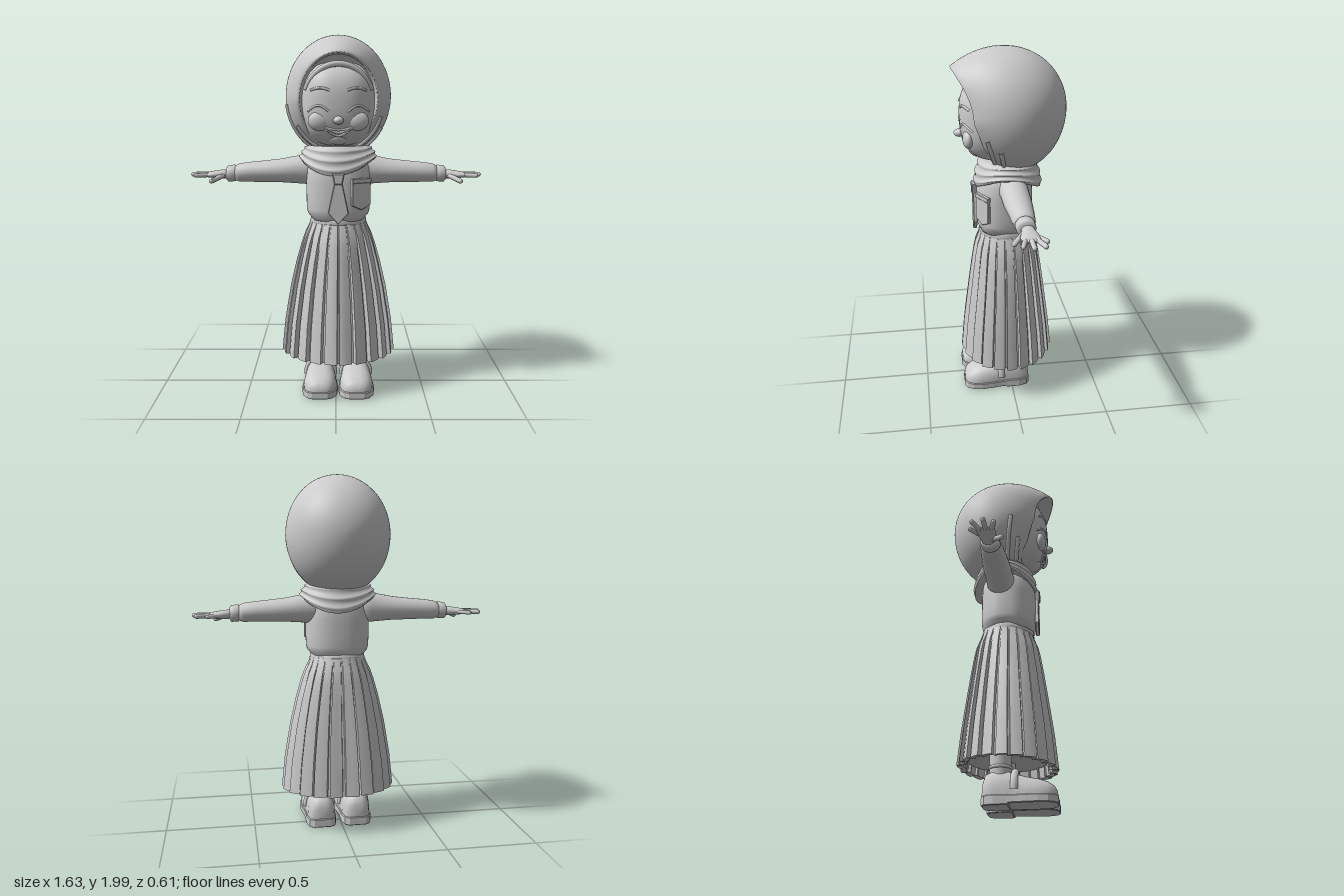
import * as THREE from 'three';
import { toCreasedNormals } from 'three/addons/utils/BufferGeometryUtils.js';

const V = (x, y, z) => new THREE.Vector3(x, y, z);
const TAU = Math.PI * 2;
const spow = (v, e) => Math.sign(v) * Math.abs(v) ** e;

// Closed skin over a list of equally sized rings, capped at both ends
function loft(rings) {
  const n = rings[0].length, pos = [], idx = [];
  rings.forEach(r => r.forEach(p => pos.push(p.x, p.y, p.z)));
  for (let i = 0; i < rings.length - 1; i++) for (let j = 0; j < n; j++) {
    const a = i * n + j, b = i * n + (j + 1) % n;
    idx.push(a, b, a + n, b, b + n, a + n);
  }
  [0, rings.length - 1].forEach((ri, end) => {
    const c = rings[ri].reduce((s, p) => s.add(p), V(0, 0, 0)).divideScalar(n);
    const k = pos.length / 3;
    pos.push(c.x, c.y, c.z);
    for (let j = 0; j < n; j++) {
      const a = ri * n + j, b = ri * n + (j + 1) % n;
      if (end) idx.push(k, a, b); else idx.push(k, b, a);
    }
  });
  const g = new THREE.BufferGeometry();
  g.setAttribute('position', new THREE.Float32BufferAttribute(pos, 3));
  g.setIndex(idx);
  g.computeVertexNormals();
  return g;
}
const ring = (n, fn) => Array.from({ length: n }, (_, j) => fn(j / n * TAU));

// Copy of an indexed geometry reflected in x
function mirror(geo) {
  const g = geo.clone().scale(-1, 1, 1), ix = g.index.array;
  for (let i = 0; i < ix.length; i += 3) [ix[i], ix[i + 1]] = [ix[i + 1], ix[i]];
  g.computeVertexNormals();
  return g;
}

// Rounded rod from a to b
function rod(a, b, r) {
  const d = b.clone().sub(a), g = new THREE.CapsuleGeometry(r, d.length(), 6, 12);
  g.applyQuaternion(new THREE.Quaternion().setFromUnitVectors(V(0, 1, 0), d.clone().normalize()));
  const m = a.clone().add(b).multiplyScalar(0.5);
  return g.translate(m.x, m.y, m.z);
}
const tube = (pts, r) => new THREE.TubeGeometry(new THREE.CatmullRomCurve3(pts), 32, r, 8);
const arc = (n, fn) => Array.from({ length: n }, (_, i) => fn(i / (n - 1)));
const plate = (pts, depth, bevel = 0.003) => new THREE.ExtrudeGeometry(
  new THREE.Shape(pts.map(p => new THREE.Vector2(...p))),
  { depth, bevelThickness: bevel, bevelSize: bevel, bevelSegments: 1 });

export function createModel() {
  const root = new THREE.Group(), body = new THREE.Group();
  root.name = 'girlInHeadscarf';
  body.name = 'body';
  body.position.x = 0.013;
  root.add(body);
  const clay = new THREE.MeshStandardMaterial({ color: 0xcccccc });
  clay.name = 'lightGrey';
  const add = (name, geo, parent = body) => {
    const m = new THREE.Mesh(geo, clay);
    m.name = name;
    parent.add(m);
    return m;
  };

  // Headscarf: ellipsoid pulled out to a peaked rim around the face
  const rim = f => V(0.21 * Math.sin(f), 1.645 + 0.245 * Math.cos(f),
    0.2 + 0.1 * Math.max(Math.cos(f), 0) ** 2 - 0.09 * Math.max(-Math.cos(f), 0));
  const egg = (a, f) => V(0.295 * Math.sin(a) * Math.sin(f), 1.67 + 0.33 * Math.sin(a) * Math.cos(f), 0.307 * Math.cos(a));
  const hoodPoint = (s, f) => egg(0.85 + s * (Math.PI - 0.85), f)
    .add(rim(f).sub(egg(0.85, f)).multiplyScalar((1 - s) ** 2));
  const lip = (k, back) => ring(64, f => {
    const p = rim(f);
    return V(p.x * k, 1.645 + (p.y - 1.645) * k, p.z - back);
  });
  const hoodRings = [lip(0.9, 0.13), lip(0.94, 0.04), lip(0.965, 0.005)];
  for (let i = 0; i < 32; i++) hoodRings.push(ring(64, f => hoodPoint(i / 32, f)));
  hoodRings.push(ring(64, f => hoodPoint(0.995, f)));
  add('headscarf', loft(hoodRings));
  [[0.07, 1.9, 4.2], [0.17, 2.1, 4.6]].forEach(([s, f0, f1]) =>
    add('headscarfFold', tube(arc(16, t => hoodPoint(s + 0.04 * t, f0 + (f1 - f0) * t)), 0.012)));

  // Face: softly squared ellipsoid
  const P = 2.6, FX = 0.2, FY = 0.23, FZ = 0.21, CY = 1.625, CZ = 0.05;
  const face = new THREE.SphereGeometry(1, 48, 32), fp = face.attributes.position;
  for (let i = 0; i < fp.count; i++) {
    const v = V(0, 0, 0).fromBufferAttribute(fp, i);
    const k = (Math.abs(v.x) ** P + Math.abs(v.y) ** P + Math.abs(v.z) ** P) ** (-1 / P);
    fp.setXYZ(i, v.x * k * FX, CY + v.y * k * FY, CZ + v.z * k * FZ);
  }
  face.computeVertexNormals();
  add('face', face);
  const onFace = (x, y, out = 0) => V(x, y, out + CZ + FZ *
    Math.max(0, 1 - Math.abs(x / FX) ** P - Math.abs((y - CY) / FY) ** P) ** (1 / P));
  const ball = (name, r, sx, sy, sz, p) =>
    add(name, new THREE.SphereGeometry(r, 24, 16).scale(sx, sy, sz).translate(p.x, p.y, p.z));
  ball('nose', 0.024, 1.15, 0.9, 1.3, V(0, 1.54, 0.26));
  ball('chin', 0.06, 1.1, 0.75, 1, V(0, 1.45, 0.155));
  for (const s of [-1, 1]) {
    ball('cheek', 0.06, 1, 0.85, 0.5, onFace(s * 0.1, 1.535, -0.015));
    add('closedEye', tube(arc(9, t => onFace(s * (0.05 + 0.11 * t), 1.585 + 0.03 * Math.sin(t * Math.PI), 0)), 0.006));
    add('eyebrow', tube(arc(7, t => onFace(s * (0.045 + 0.1 * t), 1.685 + 0.02 * Math.sin(0.4 + t * 2.3), 0)), 0.007));
  }
  const smile = (w, y, d) => arc(9, t => onFace(w * (2 * t - 1), y - d * Math.sin(t * Math.PI), 0));
  add('upperLip', tube(smile(0.07, 1.502, 0.012), 0.006));
  add('lowerLip', tube(smile(0.068, 1.5, 0.042), 0.007));
  add('teeth', tube(smile(0.055, 1.497, 0.022), 0.008));
  add('underscarfBand', tube(arc(13, t => {
    const f = (t - 0.5) * 2.4;
    return V(0.185 * Math.sin(f), 1.62 + 0.21 * Math.cos(f), 0.15 + 0.05 * Math.cos(f));
  }), 0.016));

  // Scarf wrapped round the neck, lower at front and back
  const wrapRing = (d, k) => ring(64, f => V(0.22 * k * Math.sin(f),
    1.395 - d * (0.065 + 0.095 * Math.cos(f) ** 2) + 0.012 * Math.sin(f * 2 + 0.6) * d, 0.19 * k * Math.cos(f) + 0.005));
  const wraps = [wrapRing(0, 0.6)];
  for (let i = 0; i <= 24; i++) {
    const d = i / 24;
    wraps.push(wrapRing(d, 0.995 - 0.2 * (1 - d) ** 2 - 0.045 * Math.abs(Math.cos(d * 3 * Math.PI))));
  }
  wraps.push(wrapRing(1, 0.8));
  add('neckScarf', loft(wraps.reverse()));

  // Shirt: [y, half width, half depth]
  const shirt = [[0.985, 0.145, 0.135], [1, 0.152, 0.14], [1.02, 0.17, 0.15], [1.045, 0.176, 0.154], [1.1, 0.178, 0.155],
    [1.2, 0.178, 0.155], [1.28, 0.172, 0.15], [1.33, 0.14, 0.13], [1.38, 0.09, 0.09]];
  add('shirt', loft(shirt.map(([y, w, d]) => ring(48, f =>
    V(w * spow(Math.sin(f), 0.83), y, 0.025 + d * spow(Math.cos(f), 0.83))))));
  add('pocket', plate([[-0.055, 0.08], [0.055, 0.08], [0.055, -0.06], [0, -0.085], [-0.055, -0.06]], 0.012))
    .position.set(0.12, 1.14, 0.148);
  body.children.at(-1).rotation.y = 0.5;
  add('pocketHem', plate([[-0.056, 0.082], [0.056, 0.082], [0.056, 0.062], [-0.056, 0.062]], 0.016))
    .position.set(0.12, 1.14, 0.148);
  body.children.at(-1).rotation.y = 0.5;
  add('tie', plate([[-0.016, 1.21], [-0.052, 1.04], [0, 0.982], [0.052, 1.04], [0.016, 1.21]], 0.015)).position.z = 0.18;
  add('tieKnot', plate([[-0.027, 1.25], [-0.017, 1.2], [0.017, 1.2], [0.027, 1.25]], 0.022, 0.005)).position.z = 0.178;

  // Pleated skirt: pleat profile runs from centre front round each side
  const PLEATS = 11, half = [];
  for (let i = 0; i < PLEATS; i++)
    for (const [t, drop] of [[0.04, 1], [0.08, 0], [0.5, 0.2], [0.88, 0.5], [0.92, 1]])
      half.push([(i + t) / PLEATS * Math.PI, drop]);
  const pleats = [...half, ...half.map(([f, d]) => [TAU - f, d]).reverse()];
  // [y, half width, half depth, pleat depth], from the inside of the hem upwards
  const skirt = [[0.27, 0.28, 0.225, 0.05], [0.22, 0.29, 0.235, 0.08], [0.217, 0.325, 0.268, 0.1], [0.4, 0.306, 0.25, 0.1],
    [0.6, 0.272, 0.223, 0.1], [0.75, 0.237, 0.202, 0.09], [0.85, 0.208, 0.186, 0.07], [0.9, 0.19, 0.175, 0.05],
    [0.95, 0.165, 0.155, 0.02], [0.985, 0.152, 0.143, 0]];
  add('skirt', toCreasedNormals(loft(skirt.map(([y, w, d, p]) => pleats.map(([f, drop]) =>
    V(w * (1 - p * drop) * Math.sin(f), y - (y < 0.25 ? 0.01 * Math.cos(f) : 0),
      0.015 + d * (1 - p * drop) * Math.cos(f))))), 0.5));
  add('waistband', loft([[0.965, 0.15, 0.14], [0.97, 0.157, 0.147], [1, 0.154, 0.144], [1.005, 0.14, 0.13]]
    .map(([y, w, d]) => ring(48, f => V(w * Math.sin(f), y, 0.02 + d * Math.cos(f))))));

  // Legs and shoes: shoe sections are [z, half width, top]
  const shoe = [[-0.1, 0.045, 0.12], [-0.085, 0.068, 0.165], [-0.04, 0.08, 0.185], [0.03, 0.08, 0.178], [0.07, 0.083, 0.165],
    [0.12, 0.09, 0.15], [0.18, 0.094, 0.138], [0.23, 0.088, 0.122], [0.262, 0.068, 0.1], [0.276, 0.04, 0.075]];
  const outline = (z0, z1) => {
    const pts = shoe.filter(([z]) => z >= z0 && z <= z1).map(([z, w]) => [w + 0.002, -z]);
    return [...pts, ...pts.map(([x, y]) => [-x, y]).reverse()].reverse();
  };
  for (const s of [-1, 1]) {
    const foot = new THREE.Group();
    foot.name = s > 0 ? 'leftFoot' : 'rightFoot';
    foot.position.x = s * 0.102;
    body.add(foot);
    add('leg', new THREE.CylinderGeometry(0.06, 0.054, 0.3, 24).translate(0, 0.28, -0.012), foot);
    add('sockCuff', new THREE.TorusGeometry(0.054, 0.009, 8, 24).rotateX(Math.PI / 2).translate(0, 0.2, -0.012), foot);
    add('shoe', loft(shoe.map(([z, w, top]) => ring(32, f => V(w * spow(Math.cos(f), 0.8),
      0.04 + (Math.sin(f) > 0 ? (top - 0.04) * Math.sin(f) ** 0.8 : 0.01 * Math.sin(f)), z)))), foot);
    add('sole', plate(outline(-0.01, 0.3), 0.032, 0.004).rotateX(-Math.PI / 2).translate(0, 0.012, 0), foot);
    add('heel', plate(outline(-0.2, 0.04), 0.042, 0.004).rotateX(-Math.PI / 2).translate(0, 0.004, 0), foot);
    add('shoeStrap', new THREE.TorusGeometry(0.084, 0.012, 8, 24, Math.PI).scale(1, 1.25, 1.6).translate(0, 0.075, 0.065), foot);
  }

  // Arms: rings along x as [x, centre y, half height, half depth]
  const alongX = (rows, z) => loft(rows.map(([x, y, h, d]) => ring(24, f => V(x, y + h * Math.cos(f), z + d * Math.sin(f)))));
  const sleeve = alongX([[0.1, 1.26, 0.085, 0.08], [0.17, 1.258, 0.084, 0.078], [0.24, 1.254, 0.075, 0.075], [0.3, 1.25, 0.067, 0.075],
    [0.38, 1.246, 0.062, 0.07], [0.48, 1.242, 0.056, 0.062], [0.54, 1.238, 0.052, 0.056], [0.568, 1.236, 0.04, 0.045]], -0.007);
  const cuff = alongX([[0.56, 1.236, 0.036, 0.04], [0.566, 1.236, 0.047, 0.05], [0.605, 1.233, 0.046, 0.049], [0.614, 1.232, 0.034, 0.036]], -0.006);
  const palm = alongX([[0.59, 1.232, 0.026, 0.03], [0.64, 1.229, 0.025, 0.036], [0.68, 1.227, 0.021, 0.048],
    [0.715, 1.226, 0.016, 0.047], [0.735, 1.226, 0.006, 0.035]], -0.012);
  // Finger rods: [x, y, z] base and tip, radius
  const fingers = [[[0.67, 1.226, -0.04], [0.733, 1.224, -0.085], 0.0115], [[0.7, 1.227, -0.035], [0.79, 1.226, -0.068], 0.0125],
    [[0.71, 1.228, -0.012], [0.804, 1.227, -0.012], 0.0125], [[0.7, 1.227, 0.012], [0.78, 1.226, 0.036], 0.0125],
    [[0.635, 1.222, 0.015], [0.69, 1.198, 0.064], 0.0135]].map(([a, b, r]) => rod(V(...a), V(...b), r));
  for (const s of [1, -1]) {
    const arm = new THREE.Group(), side = g => s > 0 ? g : mirror(g);
    arm.name = s > 0 ? 'leftArm' : 'rightArm';
    root.add(arm);
    add('sleeve', side(sleeve), arm);
    add('cuff', side(cuff), arm);
    add('palm', side(palm), arm);
    fingers.forEach((g, i) => add(i < 4 ? 'finger' : 'thumb', side(g), arm));
  }
  return root;
}
